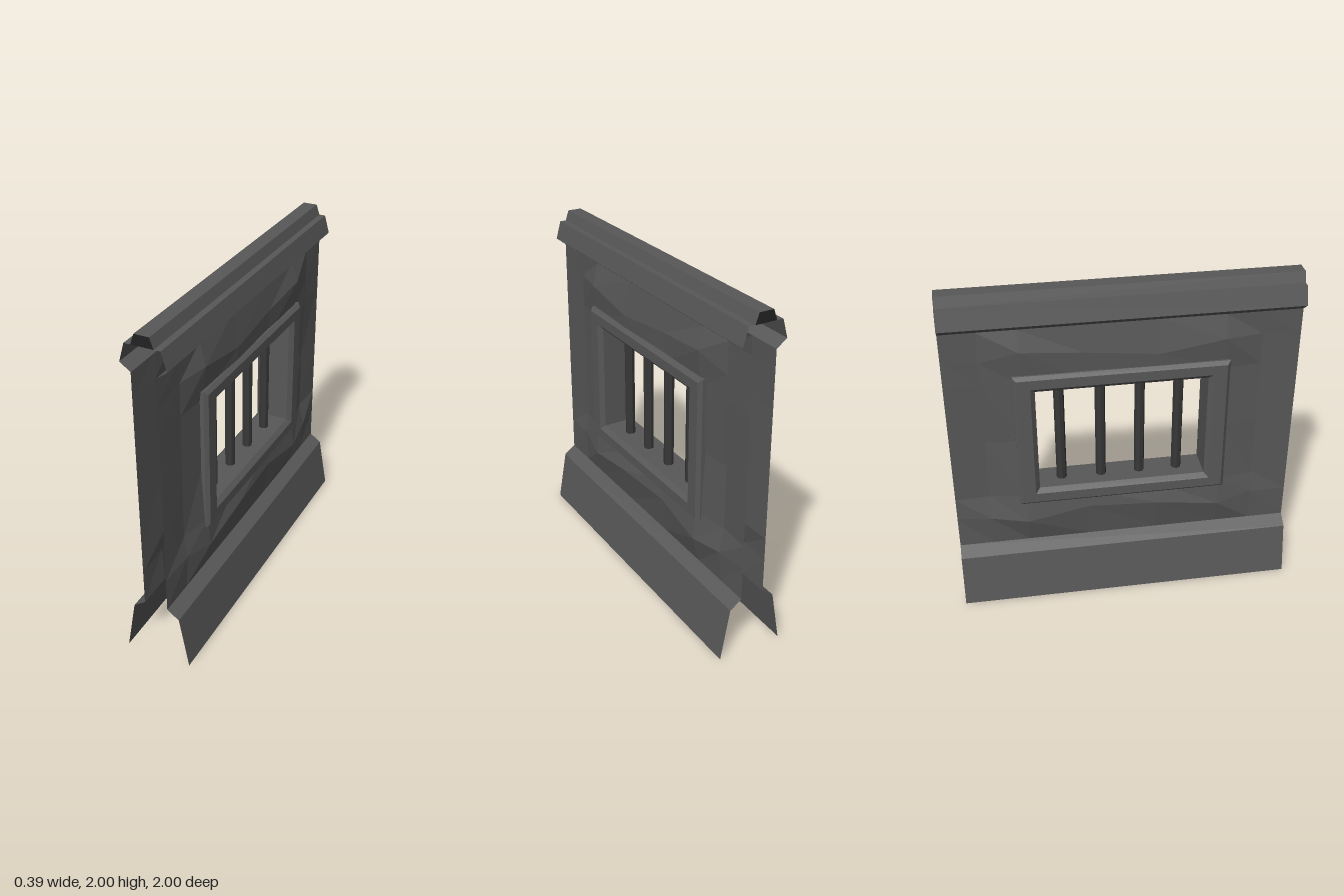
import * as THREE from 'three';

const paint = color => new THREE.MeshStandardMaterial({ color, flatShading: true, side: THREE.DoubleSide });
const stone = paint(0x585858);
const iron = paint(0x383838);
const darkEnd = paint(0x222222);

// Skins a list of point rows with flat quads; keep(i, j) may leave cells open
function skin(name, rows, flip = false, keep = () => true) {
  const pos = [];
  for (let i = 0; i < rows.length - 1; i++) {
    for (let j = 0; j < rows[i].length - 1; j++) {
      if (!keep(i, j)) continue;
      const a = rows[i][j], b = rows[i + 1][j], c = rows[i + 1][j + 1], d = rows[i][j + 1];
      const tris = flip ? [a, c, b, a, d, c] : [a, b, c, a, c, d];
      tris.forEach(p => pos.push(...p));
    }
  }
  const geo = new THREE.BufferGeometry();
  geo.setAttribute('position', new THREE.Float32BufferAttribute(pos, 3));
  geo.computeVertexNormals();
  const mesh = new THREE.Mesh(geo, stone);
  mesh.name = name;
  return mesh;
}

// Runs an open [x, y] moulding profile along the whole wall
function moulding(name, profile, side) {
  const rows = [1, -1].map(z => profile.map(([x, y]) => [x * side, y, z]));
  return skin(name, rows, side < 0);
}

// Uneven stone face with a hole behind the window frame
function wallFace(side) {
  const ys = [0.36, 0.56, 0.7, 1.08, 1.46, 1.63, 1.79];
  const depth = [0.07, 0.112, 0.092, 0.083, 0.088, 0.1, 0.07];
  const zs = [1, 0.78, 0.57, 0.2, -0.22, -0.58, -0.8, -1];
  const rows = zs.map((z, i) => ys.map((y, j) => {
    const border = i === 0 || i === zs.length - 1 || j === 0 || j === ys.length - 1;
    const wave = 0.008 * Math.sin(i * 2.3 + j * 1.7);
    const hollow = i === 1 || i === 6 ? 0.025 : 0;
    const x = border ? 0.07 : depth[j] + wave - hollow;
    const lift = j === 1 || j === 5 ? 0.04 * Math.sin(i * 1.9 + j) : 0;
    return [x * side, y + (border ? 0 : lift), z];
  }));
  const solid = (i, j) => !(i >= 2 && i <= 4 && j >= 2 && j <= 3);
  return skin(side > 0 ? 'leftWallFace' : 'rightWallFace', rows, side < 0, solid);
}

export function createModel() {
  const model = new THREE.Group();
  model.name = 'barredWindowWall';

  // Both faces with their plinth and cornice
  for (const side of [1, -1]) {
    const label = side > 0 ? 'left' : 'right';
    model.add(wallFace(side));
    model.add(moulding(label + 'Plinth', [[0.195, 0], [0.14, 0.31], [0.07, 0.36]], side));
    model.add(moulding(label + 'Cornice', [[0.07, 1.79], [0.13, 1.835], [0.1, 1.94], [0.06, 1.94]], side));
  }

  // Ridge cap along the top, with dark ends
  const cap = new THREE.Shape([[-0.063, 1.94], [0.063, 1.94], [0.042, 2], [-0.042, 2]].map(p => new THREE.Vector2(...p)));
  const ridge = new THREE.Mesh(new THREE.ExtrudeGeometry(cap, { depth: 2, bevelEnabled: false }), [darkEnd, stone]);
  ridge.position.z = -1;
  ridge.name = 'ridgeCap';
  model.add(ridge);

  // Bevelled frame running through the wall: half width, half height, x
  const cy = 1.083, cz = -0.013;
  const half = [[0.612, 0.433, 0.065], [0.612, 0.433, 0.1], [0.592, 0.413, 0.12], [0.516, 0.355, 0.12], [0.49, 0.328, 0.095]];
  const corners = [[1, -1], [1, 1], [-1, 1], [-1, -1], [1, -1]];
  const sections = [...half, ...half.map(([w, h, x]) => [w, h, -x]).reverse()];
  const rings = sections.map(([w, h, x]) => corners.map(([u, v]) => [x, cy + v * h, cz + u * w]));
  model.add(skin('windowFrame', rings));

  // Iron bars
  const bars = new THREE.Group();
  bars.name = 'windowBars';
  const barGeo = new THREE.CylinderGeometry(0.03, 0.03, 0.85, 8);
  for (const z of [0.325, 0.1, -0.13, -0.365]) {
    const bar = new THREE.Mesh(barGeo, iron);
    bar.name = 'bar';
    bar.position.set(0, 1.075, z);
    bars.add(bar);
  }
  model.add(bars);

  return model;
}
